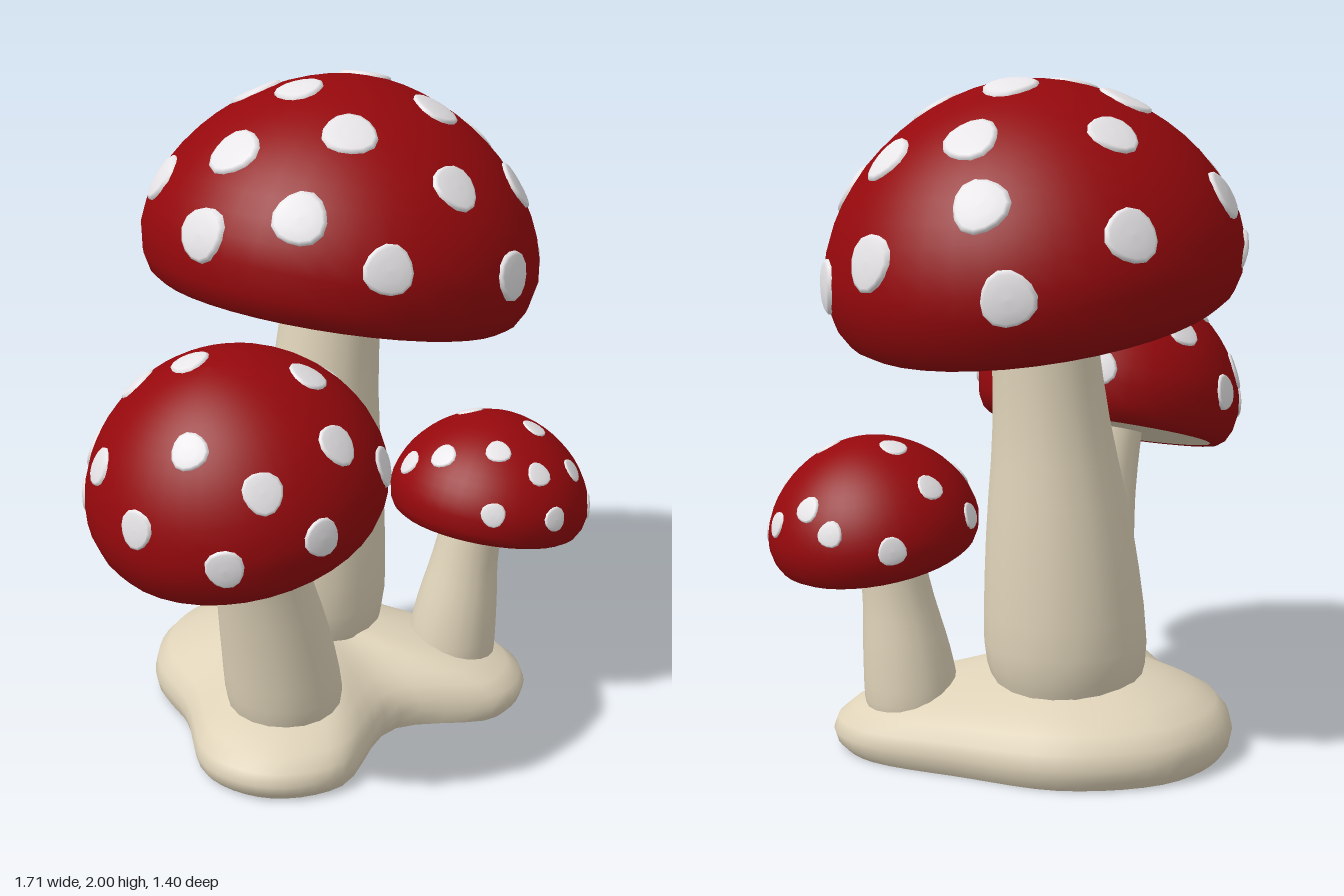
import * as THREE from 'three';

const red = new THREE.MeshStandardMaterial({ color: 0x95080c });
red.name = 'cap red';
const cream = new THREE.MeshStandardMaterial({ color: 0xdfd3b9 });
cream.name = 'stem cream';
const white = new THREE.MeshStandardMaterial({ color: 0xe8e6e8 });
white.name = 'spot white';

function addMesh(parent, name, geometry, material) {
  const mesh = new THREE.Mesh(geometry, material);
  mesh.name = name;
  parent.add(mesh);
  return mesh;
}

// Smooth skin joining closed rings of points, listed anticlockwise around the direction of travel
function loft(rings) {
  const n = rings[0].length, index = [];
  for (let i = 0; i < rings.length - 1; i++) {
    for (let j = 0; j < n; j++) {
      const k = (j + 1) % n, a = i * n, b = a + n;
      index.push(a + j, a + k, b + k, a + j, b + k, b + j);
    }
  }
  const geo = new THREE.BufferGeometry().setFromPoints(rings.flat());
  geo.setIndex(index);
  geo.computeVertexNormals();
  return geo;
}

// Stem that swells just above the ground, then narrows and leans towards the cap
const swell = new THREE.SplineCurve([[0, 0.7], [0.12, 1], [0.4, 0.74], [0.7, 0.24], [1, 0]].map(p => new THREE.Vector2(...p)));
function makeStem(foot, head, footRadius, headRadius) {
  const rings = swell.getPoints(12).map(({ x: t, y: s }) => {
    const lean = t ** 1.4;
    const r = THREE.MathUtils.lerp(headRadius, footRadius, s);
    const [x, y, z] = [lean, t, lean].map((f, i) => THREE.MathUtils.lerp(foot[i], head[i], f));
    return Array.from({ length: 20 }, (_, j) => {
      const a = j / 20 * Math.PI * 2;
      return new THREE.Vector3(x + r * Math.cos(a), y, z - r * Math.sin(a));
    });
  });
  return loft(rings);
}

// Cap dome at the size of the largest cap: underside at y = 0, widest at y = WAIST
const R = 0.61, WAIST = 0.16, DOME = 0.53, POWER = 1.82;
function onDome(dir) {
  const b = dir.y > 0 ? DOME : 0.3;
  const k = (Math.hypot(dir.x, dir.z) / R) ** POWER + (Math.abs(dir.y) / b) ** POWER;
  const p = dir.clone().multiplyScalar(k ** (-1 / POWER));
  p.y += WAIST;
  return p;
}

// Thin raised patch that follows the dome, with a slightly uneven edge
function makeSpot(n, radius) {
  const t1 = new THREE.Vector3(0, 1, 0.01).cross(n).normalize();
  const t2 = n.clone().cross(t1);
  const centre = onDome(n);
  centre.y -= WAIST;
  const rings = [[1.04, -0.006], [0.98, 0.006], [0.85, 0.0095], [0.45, 0.0095], [0, 0.0095]].map(([s, lift]) =>
    Array.from({ length: 14 }, (_, j) => {
      const a = j / 14 * Math.PI * 2;
      const r = s * radius * (1 + 0.05 * Math.sin(3 * a + 20 * n.x));
      const d = centre.clone().addScaledVector(t1, Math.cos(a) * r).addScaledVector(t2, Math.sin(a) * r);
      return onDome(d).addScaledVector(d.normalize(), lift);
    }));
  return loft(rings);
}

function makeCap({ name, position, scale, tilt, spotRows }) {
  const cap = new THREE.Group();
  cap.name = name + 'Cap';
  cap.position.set(...position);
  cap.scale.set(...scale);
  cap.rotation.set(tilt[0], 0, tilt[1]);

  const profile = [[0.5, 0.008], [0.533, 0.006], [0.566, 0.028], [0.594, 0.078]].map(p => new THREE.Vector2(...p));
  for (let i = 0; i <= 14; i++) {
    const a = i / 14 * Math.PI / 2;
    const p = onDome(new THREE.Vector3(Math.cos(a), Math.sin(a), 0));
    profile.push(new THREE.Vector2(i === 14 ? 0 : p.x, p.y));
  }
  addMesh(cap, 'capDome', new THREE.LatheGeometry(profile, 40), red);

  const underside = addMesh(cap, 'capUnderside', new THREE.CircleGeometry(0.505, 40), cream);
  underside.rotation.x = Math.PI / 2;
  underside.position.y = 0.008;

  // Rows of spots around the dome
  for (const [elevation, azimuths] of spotRows) {
    const e = THREE.MathUtils.degToRad(elevation);
    azimuths.forEach((azimuth, i) => {
      const a = THREE.MathUtils.degToRad(azimuth);
      const dir = new THREE.Vector3(Math.cos(e) * Math.cos(a), Math.sin(e), Math.cos(e) * Math.sin(a));
      addMesh(cap, 'spot', makeSpot(dir, 0.076 + 0.004 * Math.sin(5 * i + elevation)), white);
    });
  }
  return cap;
}

// Lobed ground mound: one outline shrunk and raised ring by ring, with a sharp flat bottom
function makeMound() {
  const outline = [[-0.51, 0.2], [-0.43, 0.4], [-0.22, 0.48], [0.14, 0.31], [0.46, 0.46], [0.63, 0.37],
    [0.68, 0.2], [0.56, -0.12], [0.41, -0.42], [0.14, -0.59], [-0.13, -0.55], [-0.31, -0.37], [-0.38, -0.1]];
  const points = new THREE.CatmullRomCurve3(outline.map(p => new THREE.Vector3(p[0], 0, p[1])), true).getPoints(64).slice(0, 64);
  const steps = [[0, 0], [0.95, 0], [0.95, 0], [0.985, 0.025], [1, 0.06], [0.98, 0.1], [0.91, 0.14], [0.78, 0.175], [0.6, 0.215], [0.3, 0.26], [0, 0.27]];
  return loft(steps.map(([s, y]) => points.map(p =>
    new THREE.Vector3(0.08 + (p.x - 0.08) * s, y * (1 - 0.22 * p.z * s), -0.02 + (p.z + 0.02) * s))));
}

// Spot rows are [elevation, azimuths] in degrees
const large = {
  name: 'large', position: [0.19, 1.31, -0.09], scale: [1, 1, 1], tilt: [0, -0.19],
  stem: [[0.13, 0.2, -0.13], [0.205, 1.36, -0.1], 0.245, 0.15],
  spotRows: [[-5, [-131]], [5, [117, 74, 29, 171, -41]], [15, [143, 1, -76, -123, -155]], [30, [94, 50, -35, 174]],
    [45, [134, 18, -91]], [53, [-27, -137]], [62, [72, 180]], [83, [-51]]]
};
const medium = {
  name: 'medium', position: [-0.393, 0.855, 0.25], scale: [0.708, 0.76, 0.708], tilt: [0.08, 0.28],
  stem: [[-0.19, 0.13, 0.17], [-0.39, 0.9, 0.235], 0.178, 0.125],
  spotRows: [[5, [93, 130, 47, -40, -105, -140]], [17, [165, -5, -128]], [28, [109, 66, -80, -160, -40]],
    [48, [142, 32, -115]], [78, [-100]]]
};
const small = {
  name: 'small', position: [0.533, 0.6, 0.26], scale: [0.515, 0.52, 0.515], tilt: [0, -0.19],
  stem: [[0.465, 0.1, 0.19], [0.52, 0.63, 0.23], 0.142, 0.095],
  spotRows: [[5, [132, 94, 47, -62, -120]], [18, [17, -29, -160]], [31, [103, 65, -10, 175, -100]],
    [44, [135]], [66, [70, -115]]]
};

export function createModel() {
  const model = new THREE.Group();
  model.name = 'mushroomCluster';
  addMesh(model, 'groundMound', makeMound(), cream);
  for (const m of [large, medium, small]) {
    const group = new THREE.Group();
    group.name = m.name + 'Mushroom';
    addMesh(group, m.name + 'Stem', makeStem(...m.stem), cream);
    group.add(makeCap(m));
    model.add(group);
  }
  return model;
}
